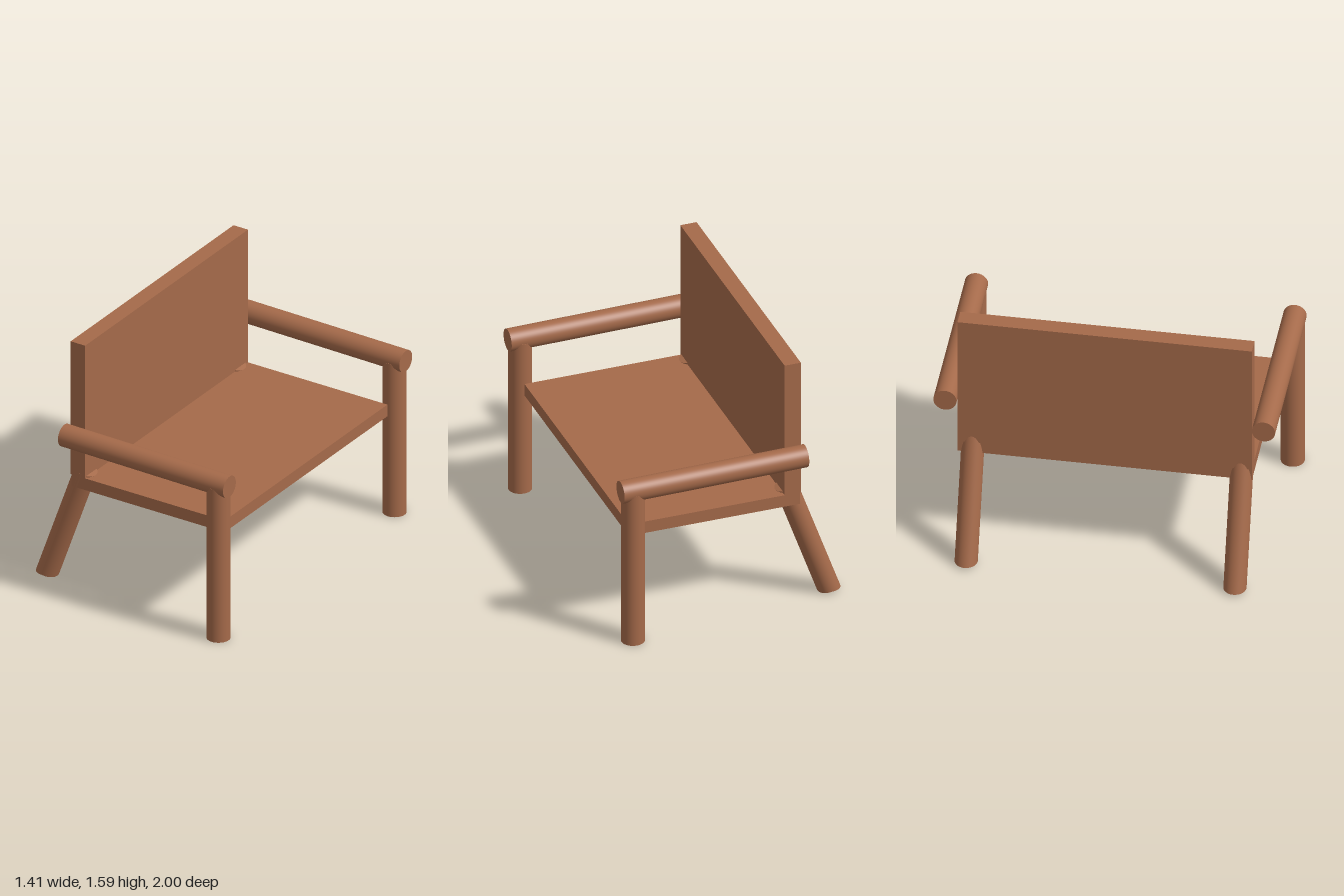
import * as THREE from 'three';

export function createModel() {
  const group = new THREE.Group();
  const wood = new THREE.MeshStandardMaterial({ color: 0xa56a4a });
  wood.name = 'brown wood';

  function add(name, geometry, x = 0, y = 0, z = 0) {
    const mesh = new THREE.Mesh(geometry, wood);
    mesh.name = name;
    mesh.position.set(x, y, z);
    group.add(mesh);
    return mesh;
  }

  // Round pole running between two points in the plane z = 0
  function pole(x0, y0, x1, y1, radius) {
    const dx = x1 - x0, dy = y1 - y0;
    const geometry = new THREE.CylinderGeometry(radius, radius, Math.hypot(dx, dy), 48);
    geometry.rotateZ(-Math.atan2(dx, dy));
    return geometry.translate((x0 + x1) / 2, (y0 + y1) / 2, 0);
  }

  // Splayed rear leg: the foot is trimmed along the axis to sit almost flat
  function rearLegGeometry() {
    const x0 = -0.635, y0 = 0.02, x1 = -0.37, y1 = 0.758, radius = 0.067;
    const geometry = pole(x0, y0, x1, y1, radius);
    const slope = (x1 - x0) / (y1 - y0);
    const p = geometry.attributes.position;
    for (let i = 0; i < p.count; i++) {
      if (p.getY(i) > 0.3) continue;
      const forward = (p.getX(i) - x0) / radius;
      const y = 0.022 - 0.017 * Math.max(0, forward);
      p.setX(i, p.getX(i) + (y - p.getY(i)) * slope);
      p.setY(i, y);
    }
    return geometry;
  }

  // Seat and backrest; the bench faces +x
  add('seat', new THREE.BoxGeometry(1.055, 0.076, 1.72), 0.0975, 0.697, 0.003);
  add('backrest', new THREE.BoxGeometry(0.1, 0.865, 1.72), -0.385, 1.1675, 0.003);

  // Front posts and the slightly sloping armrests on both ends
  for (const side of [-1, 1]) {
    add('frontLeg', pole(0.627, 0.006, 0.627, 1.0, 0.07), 0, 0, side * 0.93);
    add('armrest', pole(-0.434, 1.02, 0.703, 1.007, 0.068), 0, 0, side * 0.931);
  }

  // Rear legs, set slightly off centre
  for (const z of [-0.774, 0.797]) add('rearLeg', rearLegGeometry(), 0, 0, z);

  return group;
}
